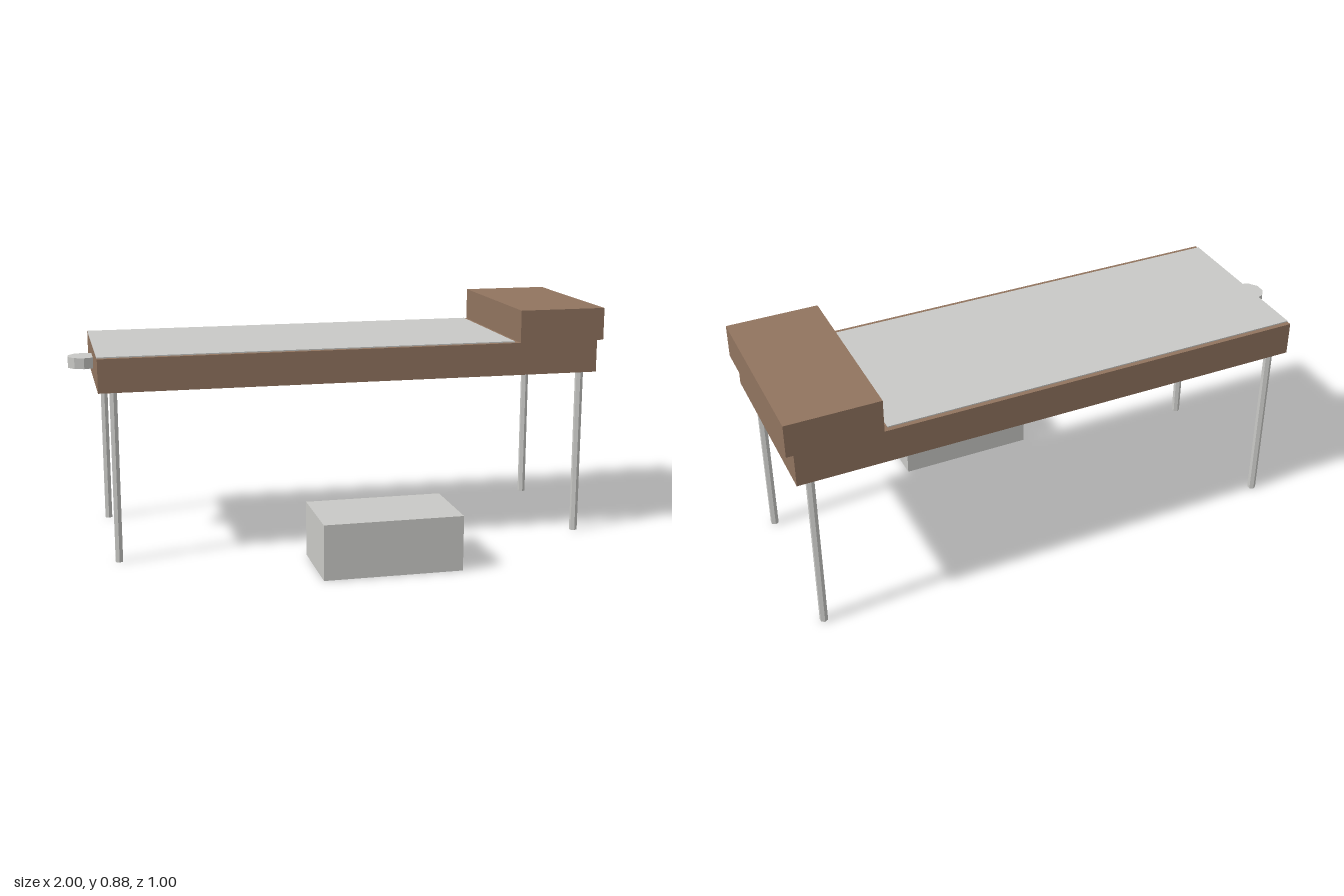
import * as THREE from 'three';

export function createModel() {
  const model = new THREE.Group();
  model.name = 'treatmentTable';

  const brown = new THREE.MeshStandardMaterial({ color: 0x91745f });
  brown.name = 'brown';
  const grey = new THREE.MeshStandardMaterial({ color: 0xc9c9c6 });
  grey.name = 'lightGrey';
  // Few-sided cylinders keep crisp facets on their own geometry
  const add = (name, geometry, material, x, y, z) => {
    const mesh = new THREE.Mesh(geometry, material);
    mesh.name = name;
    mesh.position.set(x, y, z);
    model.add(mesh);
    return mesh;
  };

  // Box given by its limits on each axis
  const box = (name, material, [x0, x1], [y0, y1], [z0, z1]) =>
    add(name, new THREE.BoxGeometry(x1 - x0, y1 - y0, z1 - z0), material,
      (x0 + x1) / 2, (y0 + y1) / 2, (z0 + z1) / 2);

  // Upright prism with flat sides
  const prism = (name, radius, height, sides, x, y, z) =>
    add(name, new THREE.CylinderGeometry(radius, radius, height, sides).toNonIndexed(), grey, x, y, z)
      .geometry.computeVertexNormals();

  // Table bed, raised head block and thin sheet
  const depth = [-0.501, 0.154];
  box('bed', brown, [-0.91, 0.975], [0.637, 0.76], depth);
  box('headBlock', brown, [0.667, 1], [0.76, 0.882], depth);
  box('sheet', grey, [-0.91, 0.65], [0.759, 0.764], [-0.484, 0.136]);

  // Round knob at the foot end
  prism('footKnob', 0.06, 0.041, 10, -0.943, 0.698, -0.176);

  // Four slim hexagonal legs
  for (const x of [-0.855, 0.921]) {
    for (const z of [-0.465, 0.119]) prism('leg', 0.0152, 0.638, 6, x, 0.319, z);
  }

  // Step block on the floor
  box('stepBlock', grey, [-0.17, 0.342], [0, 0.204], [0.195, 0.501]);

  return model;
}
